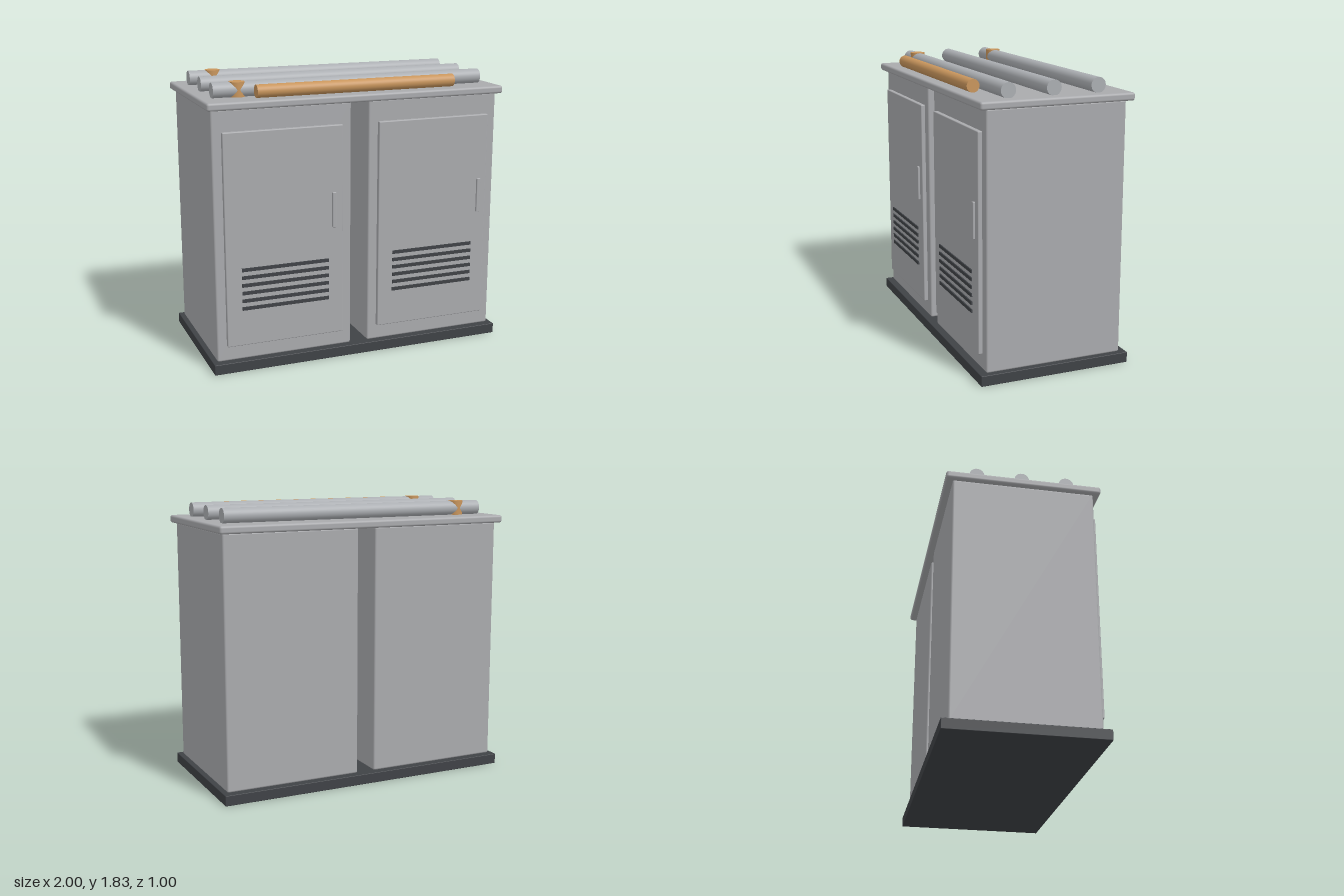
import * as THREE from 'three';
import { RoundedBoxGeometry } from 'three/addons/geometries/RoundedBoxGeometry.js';

const mat = (name, color) => Object.assign(new THREE.MeshStandardMaterial({ color }), { name });

export function createModel() {
  const model = new THREE.Group();
  model.name = 'twinCabinet';
  const grey = mat('paintedGrey', 0xa9aaad);
  const steel = mat('pipeSteel', 0xabaeb2);
  const dark = mat('darkGrey', 0x3f4246);
  const copper = mat('copper', 0xc8955c);

  const add = (parent, name, geometry, material, x, y, z) => {
    const mesh = new THREE.Mesh(geometry, material);
    mesh.name = name;
    mesh.position.set(x, y, z);
    parent.add(mesh);
    return mesh;
  };
  // Box given by its limits; r rounds the edges
  const box = (parent, name, material, [x0, x1], [y0, y1], [z0, z1], r = 0) => {
    const size = [x1 - x0, y1 - y0, z1 - z0];
    const geometry = r ? new RoundedBoxGeometry(...size, 3, r) : new THREE.BoxGeometry(...size);
    return add(parent, name, geometry, material, (x0 + x1) / 2, (y0 + y1) / 2, (z0 + z1) / 2);
  };
  // Horizontal pipe along x
  const pipe = (name, material, x0, x1, r, z) => {
    const geometry = new THREE.CylinderGeometry(r, r, x1 - x0, 32).rotateZ(Math.PI / 2);
    return add(model, name, geometry, material, (x0 + x1) / 2, 1.78, z);
  };

  // Plinth and roof slab
  box(model, 'plinth', dark, [-1, 1], [0, 0.068], [-0.5, 0.5], 0.004);
  box(model, 'roofSlab', grey, [-1, 1], [1.685, 1.735], [-0.5, 0.5], 0.015);

  // Two cabinets, each with a door, handle and vent slats
  for (const [side, cx] of [['right', -0.515], ['left', 0.515]]) {
    const cabinet = new THREE.Group();
    cabinet.name = side + 'Cabinet';
    cabinet.position.x = cx;
    model.add(cabinet);
    box(cabinet, 'body', grey, [-0.455, 0.455], [0.068, 1.688], [-0.455, 0.455], 0.012);
    box(cabinet, 'door', grey, [-0.392, 0.39], [0.17, 1.55], [0.445, 0.482], 0.006);
    const hx = side === 'right' ? 0.328 : 0.332;
    box(cabinet, 'handle', grey, [hx - 0.0125, hx + 0.0125], [0.89, 1.12], [0.475, 0.496], 0.004);
    for (let i = 0; i < 6; i++) {
      const y = 0.418 + i * 0.051;
      box(cabinet, 'ventSlat', dark, [-0.29, 0.29], [y - 0.011, y + 0.011], [0.481, 0.49]);
    }
  }

  // Roof pipes, with upright copper stubs through the outer two
  for (const z of [-0.293, 0, 0.293]) {
    pipe('roofPipe', steel, -0.918, 0.915, 0.048, z);
    if (z) add(model, 'copperStub', new THREE.CylinderGeometry(0.049, 0.049, 0.096, 32), copper, -0.755, 1.781, z);
  }
  pipe('copperPipe', copper, -0.67, 0.665, 0.041, 0.415);

  return model;
}
